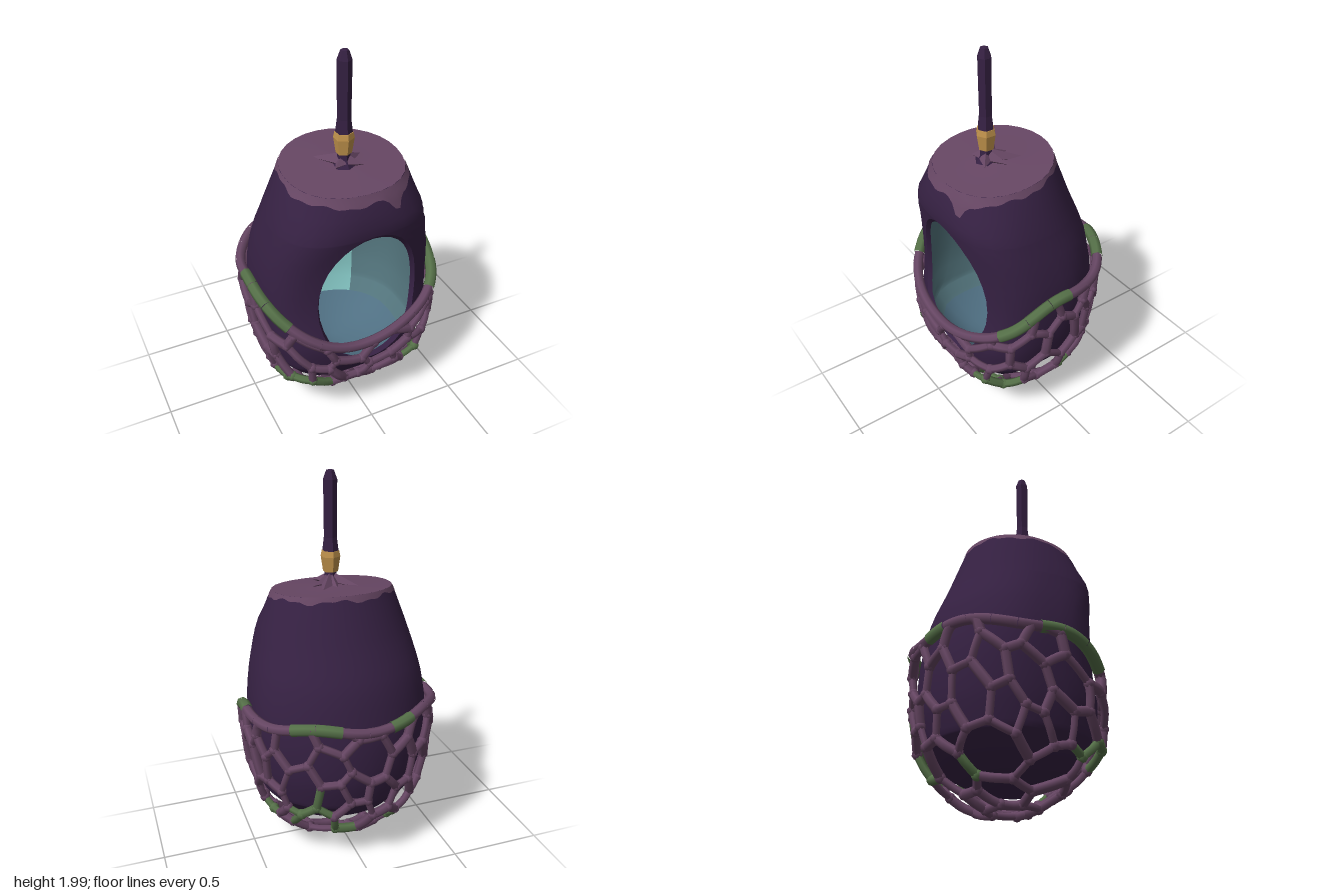
import * as THREE from 'three';
import { mergeGeometries, mergeVertices } from 'three/addons/utils/BufferGeometryUtils.js';
import { ConvexGeometry } from 'three/addons/geometries/ConvexGeometry.js';

const mat = (name, color, side = THREE.FrontSide) => {
  const m = new THREE.MeshStandardMaterial({ color, side });
  m.name = name;
  return m;
};

// Cross-sections: y, half width, front z, back z
const POD = [[0.125, 0.07, 0.12, -0.05], [0.155, 0.2, 0.22, -0.14], [0.23, 0.335, 0.33, -0.265],
  [0.35, 0.43, 0.4, -0.37], [0.5, 0.462, 0.42, -0.41], [0.7, 0.475, 0.385, -0.415],
  [0.85, 0.472, 0.385, -0.395], [1.0, 0.447, 0.4, -0.365], [1.2, 0.395, 0.44, -0.28],
  [1.36, 0.335, 0.405, -0.21], [1.41, 0.31, 0.38, -0.19]];
const NET = [[0.03, 0.02, 0.06, -0.04], [0.05, 0.16, 0.16, -0.12], [0.1, 0.27, 0.24, -0.21],
  [0.2, 0.385, 0.36, -0.33], [0.3, 0.445, 0.43, -0.4], [0.5, 0.485, 0.45, -0.435],
  [0.7, 0.502, 0.42, -0.445], [0.85, 0.502, 0.42, -0.445]];

function section(table, y) {
  let i = 0;
  while (i < table.length - 2 && y > table[i + 1][0]) i++;
  const t = THREE.MathUtils.clamp((y - table[i][0]) / (table[i + 1][0] - table[i][0]), 0, 1);
  const [rx, zf, zb] = [1, 2, 3].map(k => THREE.MathUtils.lerp(table[i][k], table[i + 1][k], t));
  return { rx, cz: (zf + zb) / 2, rz: (zf - zb) / 2 };
}

// Squareness of the front half: broad over the middle, rounder at the lid
const power = y => THREE.MathUtils.lerp(3.4, 2.3, THREE.MathUtils.smoothstep(y, 1.0, 1.38));

// Point on a section; angle 0 faces the front, the upper part of the pod leans
function ovalPoint(table, a, y, s = 1) {
  const { rx, cz, rz } = section(table, y);
  const p = Math.cos(a) > 0 ? power(y) : 2;
  const k = s / (Math.abs(Math.sin(a)) ** p + Math.abs(Math.cos(a)) ** p) ** (1 / p);
  const z = cz + k * rz * Math.cos(a);
  const lean = table === POD ? 0.12 * THREE.MathUtils.clamp((y - 1.2) / 0.2, 0, 1) : 0;
  return new THREE.Vector3(k * rx * Math.sin(a), y + (cz - z) * lean, z);
}
const podPoint = (a, y, s) => ovalPoint(POD, a, y, s);
function innerPoint(a, y, s = 1) {
  const p = podPoint(a, y, 0.945 * s);
  p.y = p.y * 0.95 + 0.035;
  return p;
}

// Smooth sheet from a rule giving the point at column u (0..1) and row j
function sheet(cols, rows, point, flip = false) {
  const pos = [], idx = [];
  for (let j = 0; j < rows; j++)
    for (let i = 0; i <= cols; i++) pos.push(...point(i / cols, j).toArray());
  for (let j = 0; j < rows - 1; j++)
    for (let i = 0; i < cols; i++) {
      const p = j * (cols + 1) + i, q = p + 1, r = p + cols + 1, t = r + 1;
      idx.push(...(flip ? [p, r, q, q, r, t] : [p, q, r, q, t, r]));
    }
  const g = new THREE.BufferGeometry();
  g.setAttribute('position', new THREE.Float32BufferAttribute(pos, 3));
  g.setIndex(idx);
  const m = mergeVertices(g, 1e-5);
  m.computeVertexNormals();
  return m;
}

function flat(g) {
  const f = g.index ? g.toNonIndexed() : g;
  f.computeVertexNormals();
  return f;
}

// Front opening: angles of its two edges at height y
function edges(y) {
  const s = (y - 0.75) / 0.41;
  const w = Math.abs(s) < 0.9999 ? 0.285 * Math.sqrt(1 - s * s) : 0;
  const { rx } = section(POD, y), p = power(y);
  const ang = x => {
    const u = THREE.MathUtils.clamp(x / rx, -1, 1);
    return Math.atan2(u, (1 - Math.abs(u) ** p) ** (1 / p));
  };
  return [ang(0.025 + w), Math.PI * 2 + ang(0.025 - w)];
}
const around = (u, y) => THREE.MathUtils.lerp(...edges(y), u);

export function createModel() {
  const model = new THREE.Group();
  const shellMat = mat('dark purple', 0x362143, THREE.DoubleSide);
  const mauve = mat('mauve', 0x664663);
  const green = mat('moss green', 0x557048);
  const gold = mat('gold', 0xc0924c);
  const lining = mat('grey teal', 0x52737b);
  const slate = mat('slate blue', 0x4f6f82);
  const glow = mat('light teal', 0x78b4b2);
  const add = (name, geometry, material, parent = model) => {
    const m = new THREE.Mesh(geometry, material);
    m.name = name;
    parent.add(m);
    return m;
  };

  // Pod shell, lining and rim of the opening
  const open = Array.from({ length: 17 }, (_, k) => 0.75 - 0.41 * Math.cos(Math.PI * k / 16));
  const ys = [0.125, 0.155, 0.19, 0.23, 0.29, ...open, 1.22, 1.29, 1.36, 1.41];
  const n = ys.length;
  add('podShell', sheet(32, n + 1, (u, j) => {
    const y = ys[Math.max(j - 1, 0)];
    return podPoint(around(u, y), y, j === 0 ? 0 : 1);
  }), shellMat);
  add('podLining', sheet(32, n + 2, (u, j) => {
    const y = ys[THREE.MathUtils.clamp(j - 1, 0, n - 1)];
    return innerPoint(around(u, y), y, j === 0 || j === n + 1 ? 0 : 1);
  }, true), lining);
  for (const side of [0, 1])
    add('openingRim', sheet(1, open.length, (u, j) => {
      const a = edges(open[j])[side];
      return podPoint(a, open[j], 1).lerp(innerPoint(a, open[j]), u);
    }), shellMat);

  // Pale arch on the inner back wall, slate floor
  add('backWallPatch', sheet(14, 14, (u, j) => {
    const y = 0.26 + 0.7 * Math.sin(j / 13 * Math.PI / 2);
    const w = 0.62 * Math.sqrt(Math.max(0, 1 - Math.max(0, (y - 0.62) / 0.34) ** 2));
    return innerPoint(Math.PI - 0.06 + (u * 2 - 1) * w, y, 0.985);
  }, true), glow);
  add('podFloor', sheet(28, 5, (u, j) => {
    const p = innerPoint(u * Math.PI * 2, [0.125, 0.125, 0.155, 0.21, 0.27][j], j ? 0.985 : 0);
    p.y += 0.006;
    return p;
  }, true), slate);

  // Mauve lid with a ragged edge and one drip
  const lid = new THREE.Group();
  lid.name = 'lid';
  model.add(lid);
  add('lidTop', sheet(28, 4, (u, j) => {
    const p = podPoint(u * Math.PI * 2, 1.41, [1.01, 0.6, 0.25, 0][j]);
    p.y += [0, 0.002, 0.008, 0.014][j];
    return p;
  }), mauve, lid);
  add('lidEdge', sheet(84, 4, (u, j) => {
    const a = u * Math.PI * 2;
    const low = 1.385 - 0.025 * Math.max(0, Math.cos(a)) + 0.007 * Math.sin(7 * a)
      + 0.005 * Math.sin(17 * a) - 0.09 * Math.exp(-(((a - 0.42) / 0.1) ** 2));
    return podPoint(a, THREE.MathUtils.lerp(low, 1.41, j / 3), 1.01);
  }), mauve, lid);

  // Stem, gold band and root spikes
  const stem = new THREE.Group();
  stem.name = 'stem';
  stem.position.set(-0.005, 0, 0.135);
  model.add(stem);
  const turned = pts => flat(new THREE.LatheGeometry(pts.map(p => new THREE.Vector2(...p)), 6));
  add('stemFoot', turned([[0.06, 1.41], [0.035, 1.445], [0.03, 1.49]]), shellMat, stem);
  add('stemBand', turned([[0, 1.48], [0.04, 1.48], [0.052, 1.56], [0.046, 1.59], [0, 1.59]]), gold, stem);
  add('stemRod', turned([[0.043, 1.585], [0.034, 1.66], [0.036, 1.95], [0.02, 1.995], [0, 2.0]]), shellMat, stem);
  for (const [angle, len] of [[-2.4, 0.18], [3.1, 0.13], [2.6, 0.22], [2.0, 0.13], [0.9, 0.1], [-1.0, 0.08]]) {
    const spike = flat(new THREE.ConeGeometry(0.045, len, 4).translate(0, len / 2, 0).rotateX(Math.PI / 2 + 0.1));
    const root = add('rootSpike', spike, mauve, stem);
    root.position.y = 1.435;
    root.rotation.y = angle;
  }

  // Vine net: cells spread over a sphere and mapped onto the lower pod
  let seed = 11;
  const rand = () => (seed = (seed * 16807) % 2147483647) / 2147483647;
  const railY = a => 0.83 - 0.335 * Math.exp(-((a / 0.89) ** 2)) + 0.018 * Math.sin(5 * a + 1);
  const TOP = 0.4;
  const netPoint = d => {
    const a = Math.atan2(d.x, d.z);
    const v = Math.min(1, (1 + d.y) / (1 + TOP));
    return ovalPoint(NET, a, 0.03 + (railY(a) - 0.03) * v);
  };
  const COUNT = 90;
  const cells = Array.from({ length: COUNT }, (_, i) => {
    const y = 1 - 2 * (i + 0.5) / COUNT, r = Math.sqrt(1 - y * y), a = i * 2.39996;
    const jitter = () => (rand() - 0.5) * 0.27;
    return new THREE.Vector3(r * Math.sin(a) + jitter(), y + jitter(), r * Math.cos(a) + jitter()).normalize();
  });
  // Centres of the mossy stretches
  const moss = [[-0.38, 0.27, 0.27], [-0.28, 0.29, 0.36], [0.19, 0.18, 0.27], [0.28, 0.25, 0.34], [0.38, 0.29, 0.3],
    [0.44, 0.25, -0.08], [0.33, 0.3, -0.3], [0.2, 0.42, -0.4], [0.08, 0.24, -0.35], [-0.25, 0.18, -0.22]]
    .map(p => new THREE.Vector3(...p));
  const vines = [], mossy = [];
  const listFor = p => (moss.some(m => m.distanceTo(p) < 0.08) ? mossy : vines);
  const hull = new ConvexGeometry(cells).attributes.position;
  const shared = new Map();
  for (let f = 0; f < hull.count; f += 3) {
    const c = [0, 1, 2].map(k => new THREE.Vector3().fromBufferAttribute(hull, f + k));
    const node = c[0].clone().add(c[1]).add(c[2]).normalize();
    for (let k = 0; k < 3; k++) {
      const key = [c[k], c[(k + 1) % 3]].map(p => p.toArray().map(x => x.toFixed(4)).join()).sort().join('|');
      if (!shared.has(key)) { shared.set(key, node); continue; }
      const other = shared.get(key);
      if (node.y > TOP && other.y > TOP) continue;
      const mid = node.clone().add(other).normalize();
      const pts = [node, mid, other].map(netPoint);
      listFor(pts[1]).push(new THREE.TubeGeometry(new THREE.CatmullRomCurve3(pts), 5, 0.018 + rand() * 0.008, 6));
    }
    if (node.y < TOP) {
      const p = netPoint(node);
      listFor(p).push(mergeVertices(new THREE.SphereGeometry(0.028, 7, 5).translate(p.x, p.y, p.z)));
    }
  }

  // Rail around the top of the net, thicker where mossy
  const ARCS = 24;
  for (let k = 0; k < ARCS; k++) {
    const pts = [0, 1, 2, 3, 4].map(i => {
      const a = (k + i / 4) / ARCS * Math.PI * 2 - Math.PI;
      return ovalPoint(NET, a, railY(a), 1 + 0.005 * Math.sin(9 * a));
    });
    const isMossy = [1, 6, 7, 8, 15, 16, 17, 21, 22].includes(k);
    const tube = new THREE.TubeGeometry(new THREE.CatmullRomCurve3(pts), 6, isMossy ? 0.031 : 0.027, 7);
    (isMossy ? mossy : vines).push(tube);
  }
  add('vineNet', mergeGeometries(vines), mauve);
  add('mossyVines', mergeGeometries(mossy), green);
  return model;
}
